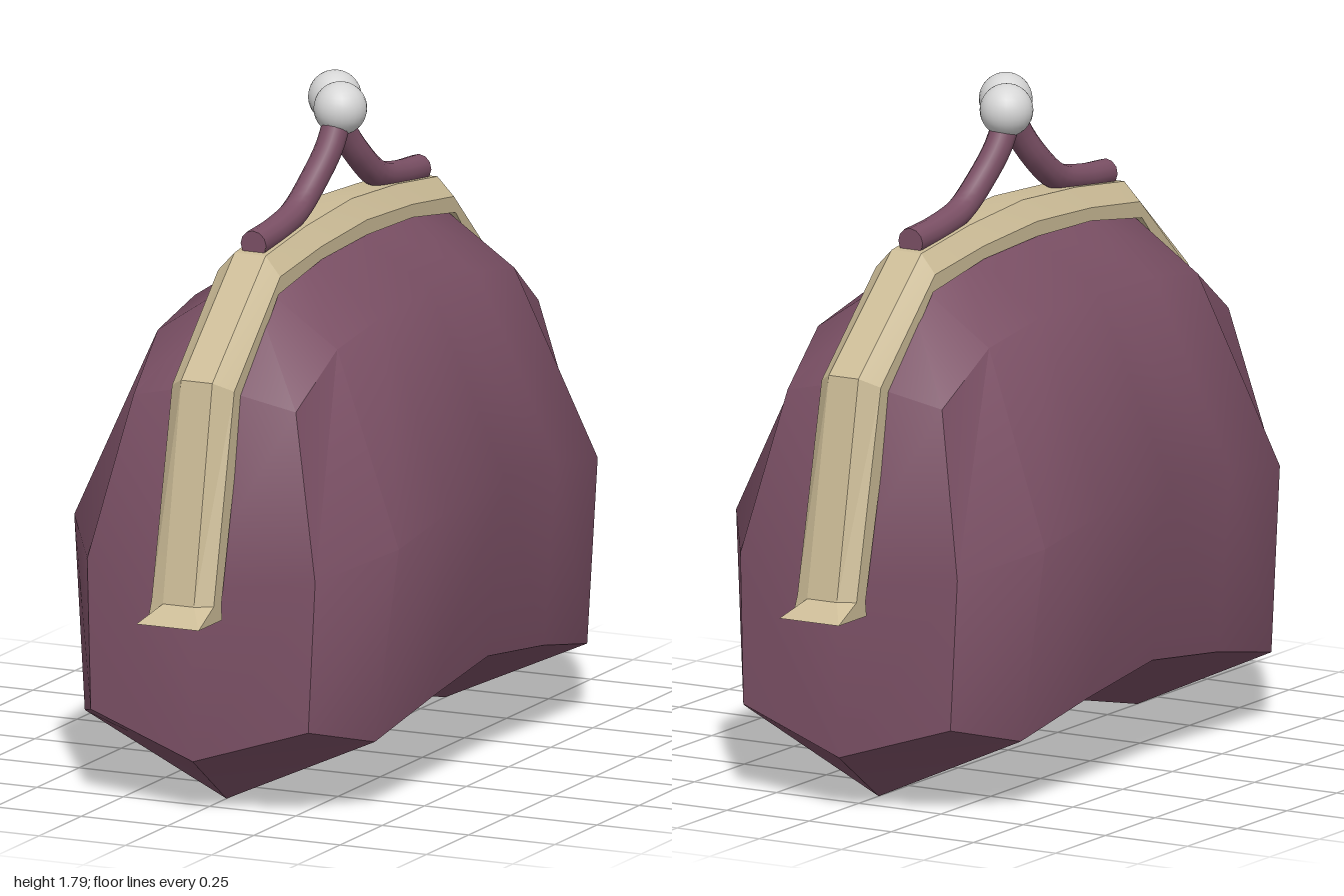
import * as THREE from 'three';
import { toCreasedNormals } from 'three/addons/utils/BufferGeometryUtils.js';

const material = (name, color) => {
  const m = new THREE.MeshStandardMaterial({ color });
  m.name = name;
  return m;
};

// Geometry from a list of triangles; triangles with coinciding corners are dropped
function fromTriangles(tris, crease) {
  const same = (a, b) => a.every((v, i) => Math.abs(v - b[i]) < 1e-6);
  const pos = tris.filter(([a, b, c]) => !same(a, b) && !same(b, c) && !same(a, c)).flat(2);
  const g = new THREE.BufferGeometry();
  g.setAttribute('position', new THREE.Float32BufferAttribute(pos, 3));
  return toCreasedNormals(g, crease);
}

// One quarter of the pouch, rows going up and columns going towards the end, mirrored twice
function bodyGeometry() {
  const low = [0, 0.14, 0.85], high = [0, 1.13, 0.77];
  const rows = [
    [[0, 0.11, 0], [0, 0.07, 0.34], [0, 0, 0.65], low, low],
    [[0.44, 0.29, 0], [0.44, 0.25, 0.33], [0.42, 0.19, 0.63], [0.315, 0.24, 0.81], low],
    [[0.49, 0.77, 0], [0.487, 0.75, 0.31], [0.47, 0.7, 0.59], [0.33, 0.64, 0.8], [0, 0.6, 0.86]],
    [[0.275, 1.25, 0], [0.273, 1.24, 0.28], [0.26, 1.2, 0.525], [0.235, 1.07, 0.72], high],
    [[0, 1.43, 0], [0, 1.42, 0.27], [0, 1.375, 0.525], high, high],
  ];
  const tris = [];
  for (const sx of [1, -1]) for (const sz of [1, -1]) {
    const add = (...t) => {
      const m = t.map(([x, y, z]) => [x * sx, y, z * sz]);
      tris.push(sx * sz > 0 ? m : m.reverse());
    };
    for (let r = 0; r < 4; r++) for (let c = 0; c < 4; c++) {
      const a = rows[r][c], b = rows[r + 1][c], d = rows[r][c + 1], e = rows[r + 1][c + 1];
      add(a, b, d);
      add(b, e, d);
    }
  }
  return fromTriangles(tris, 0.66);
}

// Bevelled clasp bar swept over the pouch: [outer z, y, half width], [bevel z, y], [inner z, y]
function frameGeometry() {
  const half = [
    [[0, 1.472, 0.045], [0, 1.42], [0, 1.38]],
    [[0.27, 1.455, 0.045], [0.27, 1.405], [0.27, 1.37]],
    [[0.51, 1.425, 0.045], [0.515, 1.375], [0.525, 1.33]],
    [[0.826, 1.15, 0.045], [0.788, 1.125], [0.735, 1.11]],
    [[0.935, 0.575, 0.045], [0.91, 0.575], [0.865, 0.57]],
    [[1, 0.53, 0.09], [0.93, 0.53], [0.86, 0.53]],
  ];
  const section = (s, sz) => {
    const [o, m, i] = s, w = 0.09;
    return [[o[2], o], [w, m], [w, i], [-w, i], [-w, m], [-o[2], o]].map(([x, p]) => [x, p[1], p[0] * sz]);
  };
  const loops = [...half.slice(1).reverse().map(s => section(s, -1)), ...half.map(s => section(s, 1))];
  const tris = [];
  for (let k = 0; k < loops.length - 1; k++) for (let i = 0; i < 6; i++) {
    const j = (i + 1) % 6, p = loops[k], q = loops[k + 1];
    tris.push([p[i], q[i], p[j]], [q[i], q[j], p[j]]);
  }
  const first = loops[0], last = loops[loops.length - 1];
  for (let i = 1; i < 5; i++) {
    tris.push([first[0], first[i], first[i + 1]], [last[0], last[i + 1], last[i]]);
  }
  return fromTriangles(tris, 0.25);
}

export function createModel() {
  const model = new THREE.Group();
  const plum = material('plum leather', 0x7b5065);
  const brass = material('pale brass', 0xcbbb96);
  const silver = material('silver', 0xd6d6d6);
  const add = (parent, name, geometry, mat) => {
    const mesh = new THREE.Mesh(geometry, mat);
    mesh.name = name;
    parent.add(mesh);
    return mesh;
  };

  add(model, 'pouch', bodyGeometry(), plum);
  add(model, 'claspFrame', frameGeometry(), brass);

  // Two crossing kiss-lock arms, each ending in a ball
  const path = new THREE.CatmullRomCurve3([
    [0, 1.447, 0.49], [0, 1.458, 0.36], [0, 1.485, 0.24], [0.012, 1.55, 0.16],
    [0.03, 1.63, 0.1], [0.035, 1.71, 0.055],
  ].map(p => new THREE.Vector3(...p)));
  const armGeometry = new THREE.TubeGeometry(path, 20, 0.037, 12);
  const capGeometry = new THREE.CircleGeometry(0.037, 12);
  const ballGeometry = new THREE.SphereGeometry(0.07, 24, 16);
  for (const [side, turn, ballZ] of [['front', 0, 0.048], ['back', Math.PI, 0.067]]) {
    const lock = new THREE.Group();
    lock.name = side + 'Lock';
    lock.rotation.y = turn;
    add(lock, side + 'Arm', armGeometry, plum);
    add(lock, side + 'ArmEnd', capGeometry, plum).position.set(0, 1.447, 0.49);
    add(lock, side + 'Ball', ballGeometry, silver).position.set(0.036, 1.723, ballZ);
    model.add(lock);
  }
  return model;
}
